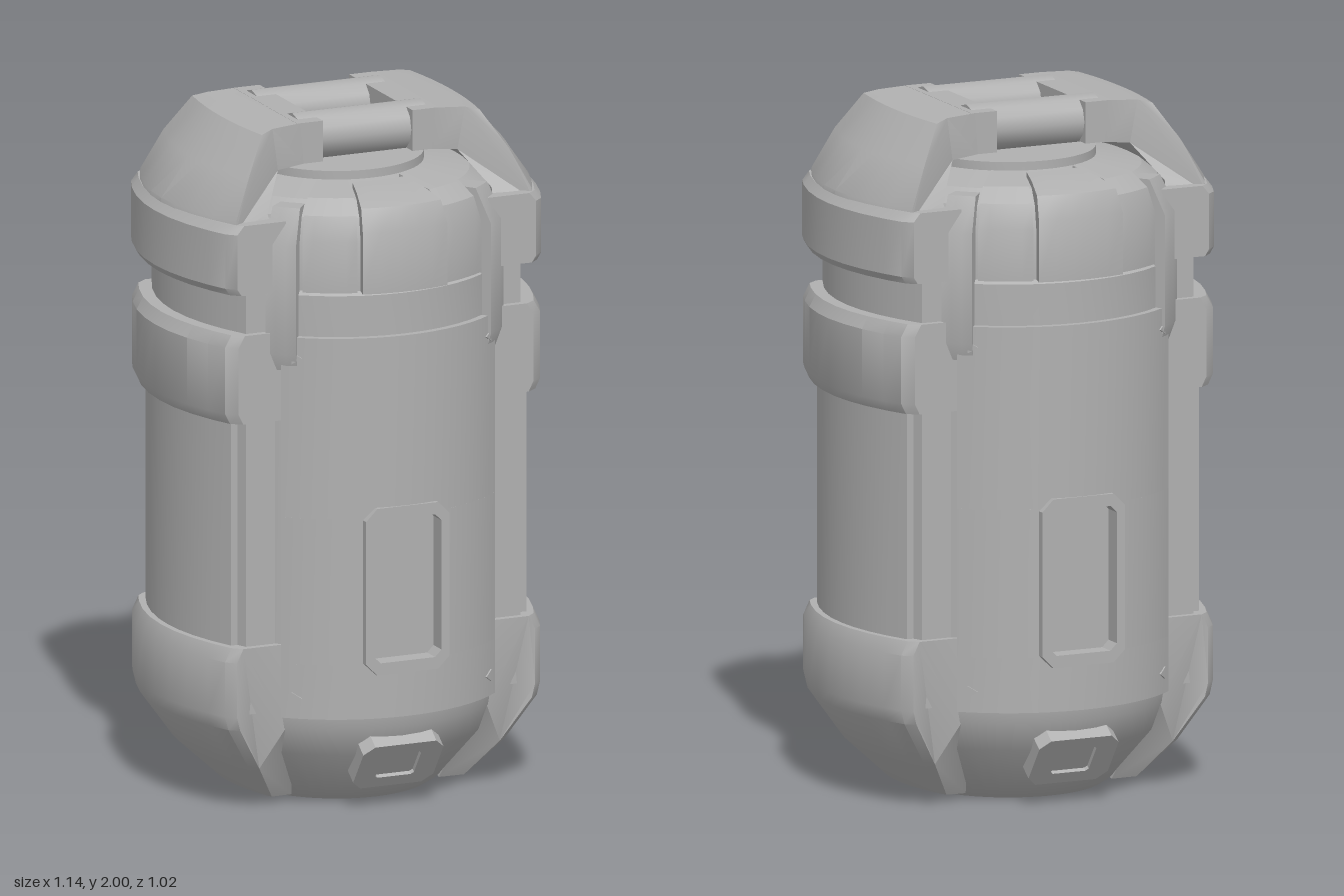
import * as THREE from 'three';
import { toCreasedNormals } from 'three/addons/utils/BufferGeometryUtils.js';

const DEG = Math.PI / 180;
const grey = new THREE.MeshStandardMaterial({ color: 0xb0b0b0 });
grey.name = 'grey metal';

function add(group, name, geo, crease = 0.5) {
  const mesh = new THREE.Mesh(toCreasedNormals(geo, crease), grey);
  mesh.name = name;
  group.add(mesh);
  return mesh;
}

// Sweeps a closed counter-clockwise profile through t = -1..1; chamfer pulls in the outer ends
function sweep(profile, place, segs, chamfer = 0) {
  const mean = profile.reduce((s, p) => s + p[0], 0) / profile.length;
  const ts = [];
  for (let i = 0; i <= segs; i++) ts.push(-1 + (2 * i) / segs);
  if (chamfer) ts.splice(1, 0, -0.93), ts.splice(ts.length - 1, 0, 0.93);
  const grid = ts.map((t) => profile.map((p) => {
    const cut = chamfer && Math.abs(t) === 1 && p[0] > mean ? chamfer : 0;
    return place([p[0] - cut, ...p.slice(1)], t);
  }));
  const pos = [];
  const tri = (a, b, c) => pos.push(...a, ...b, ...c);
  const n = profile.length;
  for (let k = 0; k < ts.length - 1; k++) {
    for (let i = 0; i < n; i++) {
      const j = (i + 1) % n;
      tri(grid[k][i], grid[k + 1][i], grid[k + 1][j]);
      tri(grid[k][i], grid[k + 1][j], grid[k][j]);
    }
  }
  const flat = profile.map((p) => new THREE.Vector2(p[0], p[1]));
  const last = grid[grid.length - 1];
  for (const [a, b, c] of THREE.ShapeUtils.triangulateShape(flat, [])) {
    tri(grid[0][a], grid[0][b], grid[0][c]);
    tri(last[a], last[c], last[b]);
  }
  const geo = new THREE.BufferGeometry();
  geo.setAttribute('position', new THREE.Float32BufferAttribute(pos, 3));
  return geo;
}

// Ring sector: profile of [radius, y], angles measured from the front
function sector(profile, a0, a1, segs = 8, chamfer = 0) {
  return sweep(profile, ([r, y], t) => {
    const a = (a0 + (a1 - a0) * (t + 1) / 2) * DEG;
    return [r * Math.sin(a), y, r * Math.cos(a)];
  }, segs, chamfer);
}

// Bowed side guard: profile of [x, y, half width, sag at the ends]
const guard = (profile, chamfer = 0) =>
  sweep(profile, ([x, y, w, sag], t) => [x - sag * t * t, y, -w * t], 8, chamfer);

const rect = (r0, r1, y0, y1) => [[r0, y0], [r1, y0], [r1, y1], [r0, y1]];

// Rectangle with cut corners
function cutRect(w, h, c, Type = THREE.Shape) {
  const pts = [[-w + c, -h], [w - c, -h], [w, -h + c], [w, h - c], [w - c, h], [-w + c, h], [-w, h - c], [-w, -h + c]];
  return new Type(pts.map((p) => new THREE.Vector2(...p)));
}
const extrude = (shape, depth) => new THREE.ExtrudeGeometry(shape, { depth, bevelEnabled: false });

function createHalf() {
  const g = new THREE.Group();

  // Front shell, split around the window opening
  const half = 43, win = 14;
  add(g, 'shellLower', sector(rect(0.42, 0.49, 0.29, 0.45), -half, half, 16));
  add(g, 'shellUpper', sector(rect(0.42, 0.49, 0.88, 1.41), -half, half, 16));
  for (const s of [-1, 1]) {
    const range = (a, b) => (s > 0 ? [a, b] : [-b, -a]);
    add(g, 'shellSide', sector(rect(0.42, 0.49, 0.45, 0.88), ...range(win, half), 8));
    add(g, 'cornerStrip', sector(rect(0.38, 0.468, 0.27, 1.45), ...range(42, 62), 5));
    add(g, 'lidSegment', sector([[0.3, 1.54], [0.475, 1.54], [0.475, 1.69], [0.45, 1.76], [0.4, 1.8], [0.27, 1.82]], ...range(17, 36), 5));
    add(g, 'lidClamp', sector([[0.38, 1.31], [0.485, 1.31], [0.5, 1.36], [0.5, 1.68], [0.45, 1.78], [0.38, 1.78]], ...range(37.5, 48), 3));
    // Triangular fasteners in the shell corners
    for (const y of [0.35, 1.35]) {
      const a = s * 38 * DEG;
      const f = add(g, 'fastener', new THREE.CylinderGeometry(0.02, 0.02, 0.008, 3).rotateX(Math.PI / 2), 0.2);
      f.position.set(0.49 * Math.sin(a), y, 0.49 * Math.cos(a));
      f.rotation.set(0, a, s * 0.5, 'YXZ');
    }
  }

  // Window frame and its sunken pane
  const frame = cutRect(0.13, 0.245, 0.035);
  frame.holes.push(cutRect(0.105, 0.21, 0.02, THREE.Path));
  add(g, 'windowFrame', extrude(frame, 0.07), 0.2).position.set(0, 0.665, 0.425);
  add(g, 'windowPane', new THREE.BoxGeometry(0.21, 0.42, 0.02), 0.2).position.set(0, 0.665, 0.43);

  // Raised block at the front of the lid
  add(g, 'lidBlock', sector([[0.3, 1.54], [0.495, 1.54], [0.495, 1.72], [0.465, 1.785], [0.38, 1.81], [0.3, 1.82]], -15.5, 15.5, 5));

  // Tilted plate on the base slope
  const plate = new THREE.Group();
  plate.name = 'basePlate';
  const rim = cutRect(0.125, 0.09, 0.03);
  rim.holes.push(cutRect(0.06, 0.05, 0.008, THREE.Path));
  add(plate, 'basePlateRim', extrude(rim, 0.05), 0.2).position.z = -0.02;
  add(plate, 'basePlateInset', new THREE.BoxGeometry(0.12, 0.1, 0.03), 0.2).position.z = 0.003;
  plate.position.set(0, 0.15, 0.405);
  plate.rotation.x = 36 * DEG;
  g.add(plate);

  // Side wall and its raised panel
  add(g, 'sideWall', guard([[0.36, 0.3, 0.325, 0.08], [0.508, 0.3, 0.325, 0.08], [0.508, 1.6, 0.325, 0.08], [0.36, 1.6, 0.325, 0.08]]));
  add(g, 'sidePanel', guard([[0.4, 0.4, 0.295, 0.066], [0.527, 0.4, 0.295, 0.066], [0.527, 1.25, 0.295, 0.066], [0.4, 1.25, 0.295, 0.066]]));

  // Lower guard wrapping under the base
  add(g, 'lowerGuard', guard([
    [0.26, 0.015, 0.2, 0.03], [0.34, 0.02, 0.22, 0.04], [0.46, 0.13, 0.3, 0.07], [0.555, 0.26, 0.345, 0.085],
    [0.565, 0.3, 0.345, 0.085], [0.565, 0.46, 0.345, 0.085], [0.545, 0.5, 0.345, 0.085], [0.4, 0.5, 0.345, 0.085],
    [0.4, 0.25, 0.345, 0.085], [0.3, 0.1, 0.25, 0.05],
  ], 0.015));

  // Middle band
  add(g, 'middleBand', guard([[0.4, 1.16], [0.55, 1.16], [0.565, 1.19], [0.565, 1.385], [0.545, 1.42], [0.4, 1.42]]
    .map(([x, y]) => [x, y, 0.345, 0.085]), 0.02));

  // Upper band that rises into the handle shoulder
  add(g, 'upperBand', guard([[0.4, 1.54], [0.553, 1.54], [0.566, 1.56], [0.566, 1.72], [0.545, 1.745], [0.4, 1.745]]
    .map(([x, y]) => [x, y, 0.35, 0.085]), 0.015));
  add(g, 'handleShoulder', guard([
    [0.41, 1.7, 0.325, 0.07], [0.55, 1.72, 0.335, 0.085], [0.545, 1.755, 0.33, 0.085], [0.46, 1.87, 0.295, 0.055],
    [0.36, 1.975, 0.24, 0.02], [0.3, 1.985, 0.225, 0], [0.21, 1.99, 0.218, 0], [0.2, 1.87, 0.218, 0],
    [0.28, 1.86, 0.218, 0], [0.41, 1.76, 0.3, 0.06],
  ]));

  // Handle grip bar and end block
  const bar = add(g, 'handleBar', new THREE.CylinderGeometry(0.07, 0.07, 0.4, 12).rotateZ(Math.PI / 2), 0.6);
  bar.position.set(0, 1.93, 0.14);
  add(g, 'handleEnd', new THREE.BoxGeometry(0.08, 0.12, 0.436), 0.2).position.set(0.18, 1.93, 0);
  return g;
}

export function createModel() {
  const model = new THREE.Group();
  model.name = 'canister';

  // Core from base to lid
  const core = [[0, 0], [0.27, 0], [0.3, 0.02], [0.43, 0.17], [0.47, 0.255], [0.475, 0.3], [0.425, 0.3], [0.425, 1.4],
    [0.47, 1.4], [0.47, 1.53], [0.455, 1.54], [0.455, 1.68], [0.43, 1.75], [0.38, 1.79], [0.25, 1.815],
    [0.25, 1.84], [0, 1.84]].map((p) => new THREE.Vector2(...p));
  add(model, 'core', new THREE.LatheGeometry(core, 48), 0.45);

  // Both halves are alike, half a turn apart
  for (const [name, turn] of [['frontHalf', 0], ['backHalf', Math.PI]]) {
    const h = createHalf();
    h.name = name;
    h.rotation.y = turn;
    model.add(h);
  }
  model.rotation.y = -16 * DEG;

  const root = new THREE.Group();
  root.add(model);
  return root;
}
